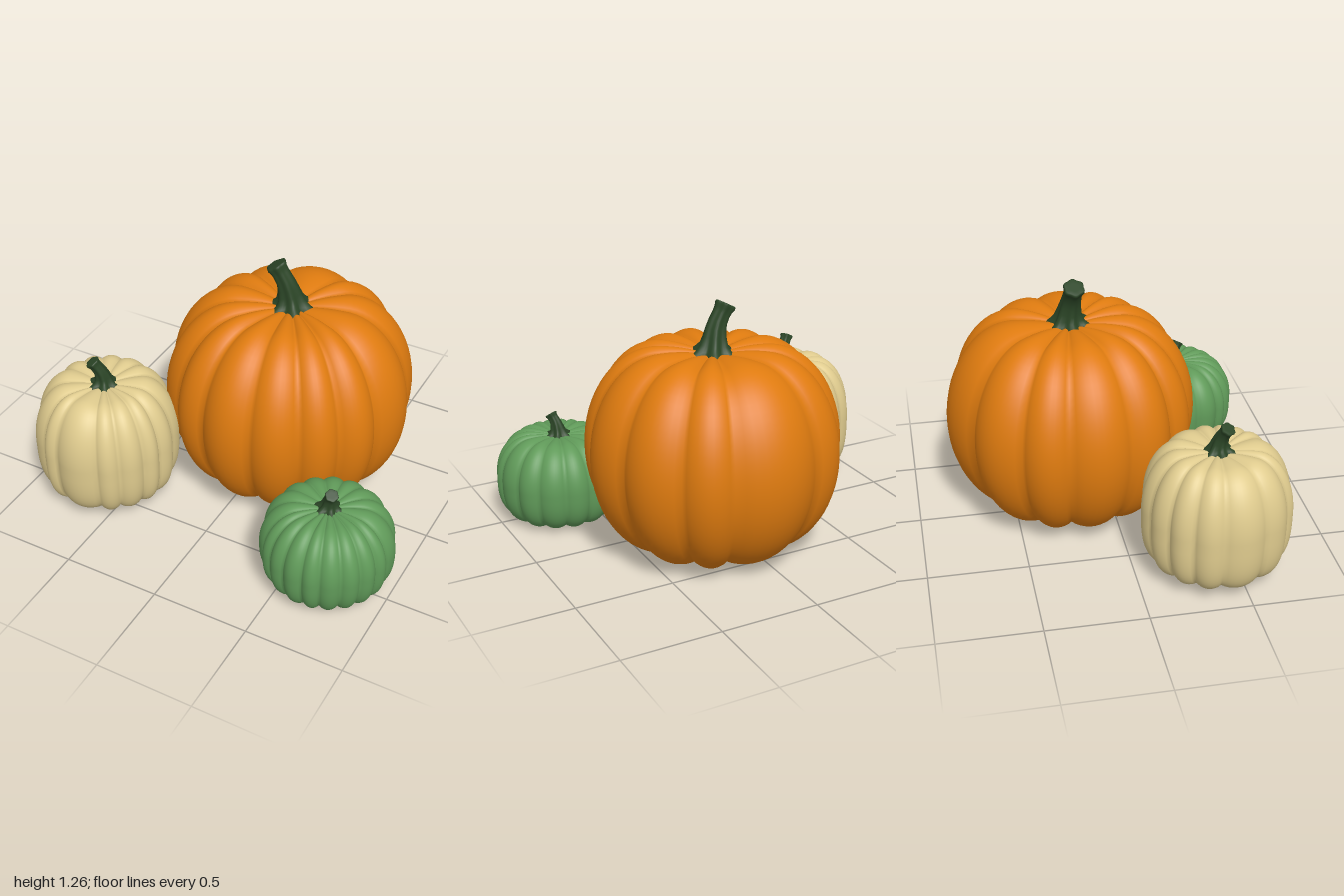
import * as THREE from 'three';

const mat = (name, color) => {
  const m = new THREE.MeshStandardMaterial({ color });
  m.name = name;
  return m;
};

// Smooth skin over closed rings of points, listed from bottom to top
function skin(rings) {
  const n = rings[0].length, index = [];
  for (let i = 0; i < rings.length - 1; i++) {
    for (let j = 0; j < n; j++) {
      const a = i * n + j, b = i * n + (j + 1) % n;
      index.push(a, a + n, b, b, a + n, b + n);
    }
  }
  const geo = new THREE.BufferGeometry().setFromPoints(rings.flat());
  geo.setIndex(index);
  geo.computeVertexNormals();
  return geo;
}

// Ribbed body: a doughnut-like section with dimples, pinched in at each groove angle
function bodyGeometry({ radius, core, y0, y1, dip, depth, squareness, grooves }) {
  const mid = (y0 + y1) / 2, half = (y1 - y0) / 2;
  const spokes = [];
  const sorted = [...grooves].sort((a, b) => a - b);
  sorted.forEach((start, k) => {
    const end = k + 1 < sorted.length ? sorted[k + 1] : sorted[0] + 360;
    for (let s = 0; s < 10; s++) {
      const angle = THREE.MathUtils.degToRad(start + (end - start) * s / 10);
      spokes.push({ angle, pinch: 1 - Math.pow(Math.sin(Math.PI * s / 10), 0.8) });
    }
  });

  // Profile entries: inner dimple radius fraction, or outer section angle
  const profile = [];
  for (let i = 0; i <= 8; i++) profile.push({ inner: Math.max(i / 8, 0.001), side: -1 });
  for (let i = 1; i < 32; i++) profile.push({ phi: -Math.PI / 2 + Math.PI * i / 32 });
  for (let i = 8; i >= 0; i--) profile.push({ inner: Math.max(i / 8, 0.001), side: 1 });

  return skin(profile.map(({ inner, side, phi }) => spokes.map(({ angle, pinch }) => {
    let r, y;
    if (phi === undefined) {
      r = core * inner;
      y = mid + side * (half - dip * (1 - inner) ** 2 - depth * 0.6 * pinch * inner);
    } else {
      const e = phi < 0 ? 2 / squareness : 1;
      const c = Math.pow(Math.cos(phi), e);
      const s = Math.sign(phi) * Math.pow(Math.abs(Math.sin(phi)), e);
      r = core + (radius - core - depth * pinch) * c;
      y = mid + (half - depth * 0.6 * pinch) * s;
    }
    return new THREE.Vector3(r * Math.cos(angle), y, r * Math.sin(angle));
  })));
}

// Ridged stem: flared foot, slim neck and a cut tip, swept along a curve
function stemGeometry(path, size) {
  const curve = new THREE.CatmullRomCurve3(path.map(p => new THREE.Vector3(...p)));
  // position along curve, radius, ridge strength
  const sections = [
    [0, 1.0, 0.2], [0.07, 0.96, 0.2], [0.14, 0.76, 0.17], [0.23, 0.59, 0.12], [0.36, 0.5, 0.09],
    [0.5, 0.44, 0.07], [0.65, 0.39, 0.06], [0.8, 0.37, 0.06], [0.89, 0.39, 0.06], [0.95, 0.44, 0.06],
    [0.99, 0.43, 0.06], [1, 0.38, 0.05], [1, 0.2, 0.03], [1, 0.001, 0],
  ];
  return skin(sections.map(([t, r, ridge]) => {
    const p = curve.getPointAt(t), T = curve.getTangentAt(t);
    const N = new THREE.Vector3(1, 0, 0).addScaledVector(T, -T.x).normalize();
    const B = N.clone().cross(T);
    return Array.from({ length: 48 }, (_, j) => {
      const a = j / 48 * Math.PI * 2;
      const rr = size * r * (1 - ridge / 2 + ridge * Math.cos(a * 6 + 0.6));
      return p.clone().addScaledVector(N, rr * Math.cos(a)).addScaledVector(B, rr * Math.sin(a));
    });
  }));
}

export function createModel() {
  const model = new THREE.Group();
  model.name = 'pumpkins';
  const stemGreen = mat('stem green', 0x2b4526);

  const pumpkins = [
    {
      name: 'largePumpkin', material: mat('orange skin', 0xdf7b0f), x: 0.115, z: -0.19,
      body: {
        radius: 0.637, core: 0.26, y0: 0.012, y1: 1.038, dip: 0.045, depth: 0.048, squareness: 2,
        grooves: [-148, -118, -72, -48, -17, 18, 39, 59, 83, 110, 132, 158, 189],
      },
      stem: [[0, 0.985, 0], [-0.005, 1.05, 0], [-0.025, 1.14, 0.01], [-0.08, 1.238, 0.018]], stemSize: 0.122,
    },
    {
      name: 'creamPumpkin', material: mat('cream skin', 0xdfcb8e), x: -0.635, z: 0.4,
      body: {
        radius: 0.368, core: 0.18, y0: 0.037, y1: 0.667, dip: 0.03, depth: 0.027, squareness: 3.1,
        grooves: [-126, -102, -75, -47, -14, 8, 25, 47, 66, 104, 121, 152, 188, 212],
      },
      stem: [[0, 0.636, 0], [0, 0.68, 0], [-0.008, 0.73, 0.01], [-0.04, 0.79, 0.03]], stemSize: 0.082,
    },
    {
      name: 'greenPumpkin', material: mat('green skin', 0x609a59), x: 0.67, z: 0.485,
      body: {
        radius: 0.33, core: 0.15, y0: 0, y1: 0.455, dip: 0.025, depth: 0.023, squareness: 2.6,
        grooves: [-74, -48, -25, 3, 18, 35, 53, 72, 88, 107, 125, 140, 165, 192, 215, 238, 262],
      },
      stem: [[0, 0.43, 0], [0.002, 0.465, 0], [0.008, 0.505, 0.007], [0.025, 0.55, 0.03]], stemSize: 0.074,
    },
  ];

  for (const { name, material, x, z, body, stem, stemSize } of pumpkins) {
    const group = new THREE.Group();
    group.name = name;
    group.position.set(x, 0, z);
    const bodyMesh = new THREE.Mesh(bodyGeometry(body), material);
    bodyMesh.name = 'body';
    const stemMesh = new THREE.Mesh(stemGeometry(stem, stemSize), stemGreen);
    stemMesh.name = 'stem';
    group.add(bodyMesh, stemMesh);
    model.add(group);
  }
  return model;
}
